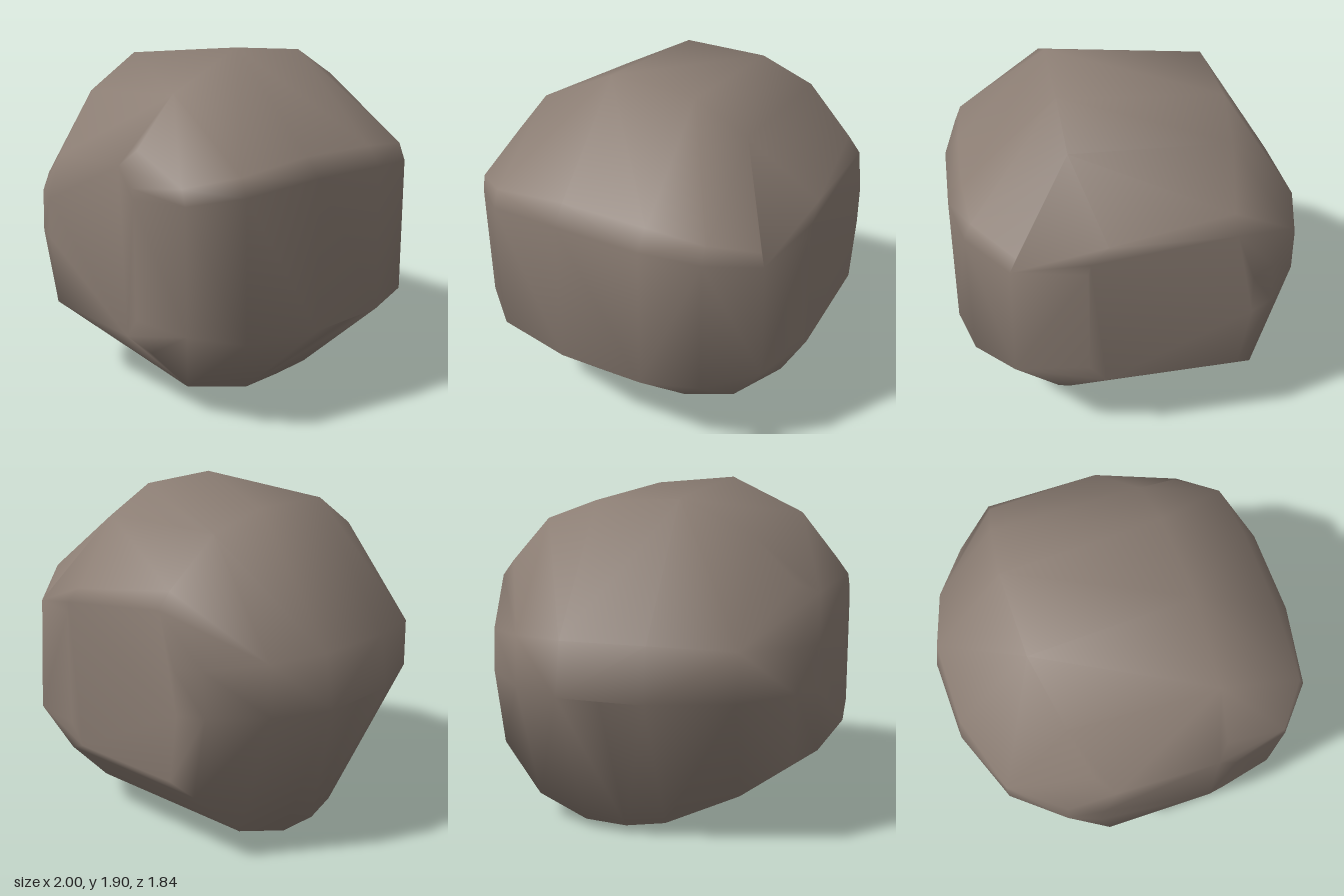
import * as THREE from 'three';
import { ConvexGeometry } from 'three/addons/geometries/ConvexGeometry.js';
import { mergeVertices } from 'three/addons/utils/BufferGeometryUtils.js';

// widest cross-section of the boulder (x, y)
const profile = [
  [-0.5, 1.81], [0.38, 1.9], [0.9, 1.4], [0.98, 1.3], [1, 0.5],
  [0.48, 0], [-0.69, 0.05], [-1, 0.83], [-0.95, 1.12],
];

// slices from front to back: z, xMin, xMax, yMin, yMax
const slices = [
  [0.92, -0.35, 0.42, 0.47, 1.36],
  [0.85, -0.53, 0.73, 0.39, 1.44],
  [0.63, -0.82, 0.92, 0.14, 1.7],
  [0.2, -0.98, 1, 0, 1.9],
  [-0.04, -0.99, 1, 0, 1.88],
  [-0.28, -1, 1, 0.01, 1.86],
  [-0.59, -0.87, 0.92, 0.13, 1.72],
  [-0.85, -0.67, 0.72, 0.39, 1.46],
  [-0.92, -0.54, 0.33, 0.47, 1.37],
];

// flat chips knocked off the corners: outward normal and distance from the origin
const chips = [
  [-0.76, -0.45, 0.465, 0.53], // lower front, right side
  [-0.47, -0.44, 0.76, 0.63], // lower front, nearer the middle
  [-0.5, 0.5, 0.7, 1.42], // upper front, right side
  [0.33, 0.6, -0.73, 1.56], // upper back, left side
].map(([x, y, z, d]) => new THREE.Plane(new THREE.Vector3(x, y, z), -d).normalize());

// each slice is partly a shrunken profile, partly the profile cut off at the limits
function slicePoints([z, x0, x1, y0, y1]) {
  const fit = (v, from0, from1, a, b) => {
    const scaled = a + ((v - from0) / (from1 - from0)) * (b - a);
    return THREE.MathUtils.lerp(scaled, THREE.MathUtils.clamp(v, a, b), 0.6);
  };
  return profile.map(([x, y]) => new THREE.Vector3(fit(x, -1, 1, x0, x1), fit(y, 0, 1.9, y0, y1), z));
}

// push points lying beyond a chip back onto its plane
function chip(point) {
  for (const plane of chips) {
    const over = plane.distanceToPoint(point);
    if (over > 0) point.addScaledVector(plane.normal, -over);
  }
  return point;
}

export function createModel() {
  const group = new THREE.Group();
  group.name = 'rock';
  const stone = new THREE.MeshStandardMaterial({ color: 0x8b7d73 });
  stone.name = 'warm grey stone';

  // smooth hull over all slices
  const hull = new ConvexGeometry(slices.flatMap(slicePoints).map(chip));
  hull.deleteAttribute('normal');
  const shell = mergeVertices(hull, 1e-4);
  shell.computeVertexNormals();
  const boulder = new THREE.Mesh(shell, stone);
  boulder.name = 'boulder';
  group.add(boulder);
  return group;
}
